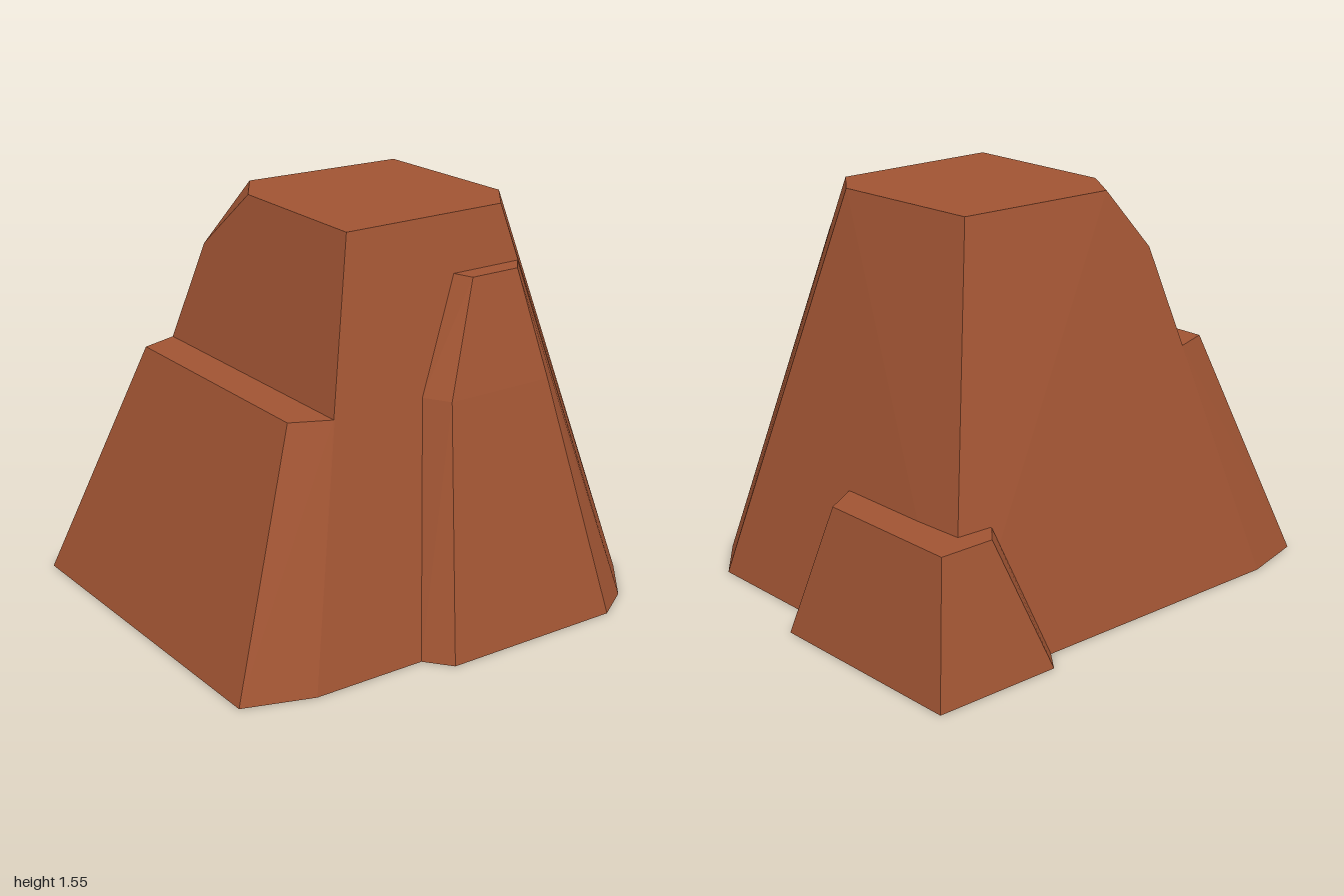
import * as THREE from 'three';
import { ConvexGeometry } from 'three/addons/geometries/ConvexGeometry.js';

const H = 1.555;   // summit height
const LEDGE = 0.93; // front ledge height

export function createModel() {
  const model = new THREE.Group();
  model.name = 'rock';
  const stone = new THREE.MeshStandardMaterial({ color: 0xa05433, flatShading: true });
  stone.name = 'red brown stone';

  // Each slab of rock is the convex hull of its corners [x, y, z]
  const slab = (name, corners) => {
    const points = corners.map((c) => new THREE.Vector3(...c));
    const mesh = new THREE.Mesh(new ConvexGeometry(points), stone);
    mesh.name = name;
    model.add(mesh);
  };

  // Tall tapering body with one chipped top corner
  slab('mainRock', [
    [-0.39, H, -0.45], [0.25, H, -0.48], [0.41, H, -0.36],
    [0.41, H, 0.34], [-0.24, H, 0.34], [-0.42, H, 0.22],
    [-0.475, 1.32, 0.40],
    [-0.57, LEDGE, 0.5], [0.56, LEDGE, 0.5],
    [-0.8, 0, 0.73], [0.785, 0, 0.73],
    [0.785, 0, -0.70], [0.58, 0, -0.86], [-0.8, 0, -0.86],
  ]);

  // Broad step in front, with a flat ledge
  slab('frontStep', [
    [-0.57, LEDGE, 0.5], [0.56, LEDGE, 0.5],
    [0.49, LEDGE, 0.65], [-0.52, LEDGE, 0.65],
    [-0.73, 0, 1.0], [0.695, 0, 1.0],
    [-0.8, 0, 0.73], [0.785, 0, 0.73],
  ]);

  // Buttress on the left flank
  slab('sideButtress', [
    [0.455, 1.34, -0.41], [0.54, 1.34, -0.34], [0.54, 1.34, -0.13], [0.455, 1.34, -0.10],
    [0.56, LEDGE, 0.11], [0.66, LEDGE, 0.05], [0.66, LEDGE, -0.40],
    [0.785, 0, 0.27], [0.885, 0, 0.19], [0.885, 0, -0.55], [0.785, 0, -0.70],
  ]);

  // Low block wrapped around the back right corner
  slab('backBlock', [
    [-0.76, 0.505, -0.88], [-0.15, 0.505, -0.88], [-0.065, 0.505, -0.74],
    [-0.68, 0.505, -0.58], [-0.76, 0.505, -0.65],
    [-0.89, 0, -1.0], [-0.03, 0, -1.0], [0.04, 0, -0.86],
    [-0.8, 0, -0.40], [-0.89, 0, -0.47],
  ]);

  return model;
}
